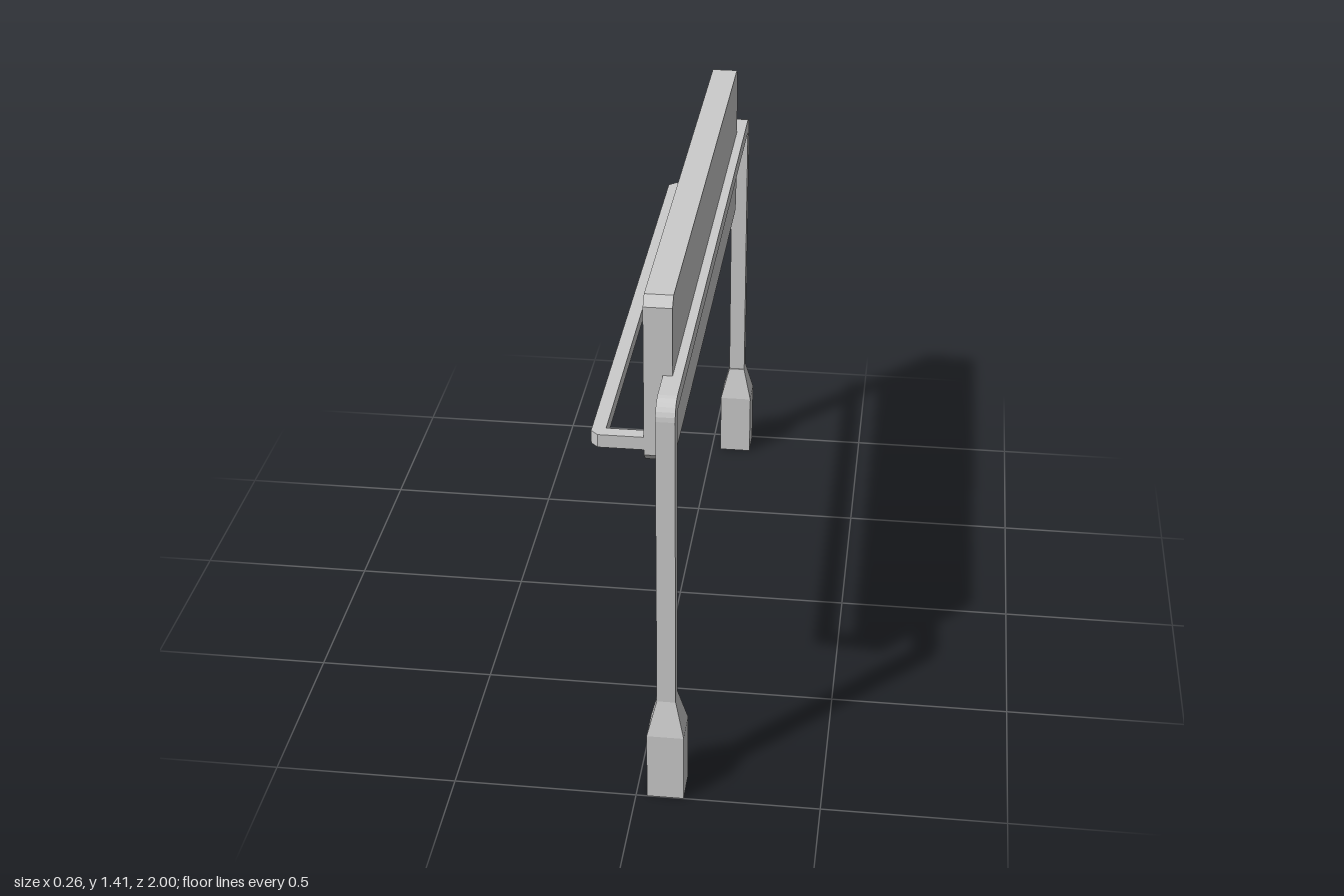
import * as THREE from 'three';

const grey = new THREE.MeshStandardMaterial({ color: 0xcccccc, flatShading: true });
const red = new THREE.MeshStandardMaterial({ color: 0xdd1515, flatShading: true });

function addMesh(parent, name, geometry, material = grey) {
  const mesh = new THREE.Mesh(geometry, material);
  mesh.name = name;
  parent.add(mesh);
  return mesh;
}

function extrude(shape, depth) {
  return new THREE.ExtrudeGeometry(shape, { depth, bevelEnabled: false, curveSegments: 3 });
}

// Turns a shape drawn in (z, y) into a slab between two x values
function slabAcrossX(shape, xMin, xMax) {
  return extrude(shape, xMax - xMin).rotateY(-Math.PI / 2).translate(xMax, 0, 0);
}

function polygon(points) {
  return new THREE.Shape(points.map(([a, b]) => new THREE.Vector2(a, b)));
}

// Arch outline: two posts joined by a beam with rounded outer corners
function archShape() {
  const outer = 0.977, inner = 0.93, top = 1.2, under = 1.157, foot = 0.3, r = 0.05;
  const s = new THREE.Shape();
  s.moveTo(outer, foot);
  s.lineTo(outer, top - r);
  s.absarc(outer - r, top - r, r, 0, Math.PI / 2, false);
  s.lineTo(-outer + r, top);
  s.absarc(-outer + r, top - r, r, Math.PI / 2, Math.PI, false);
  s.lineTo(-outer, foot);
  s.lineTo(-inner, foot);
  s.lineTo(-inner, under);
  s.lineTo(inner, under);
  s.lineTo(inner, foot);
  s.closePath();
  return s;
}

// Square footing whose upper part narrows to the post
function footingGeometry() {
  const g = new THREE.BoxGeometry(0.1, 0.3, 0.1, 1, 3, 1).translate(0, 0.15, 0);
  const p = g.attributes.position;
  for (let i = 0; i < p.count; i++) {
    if (p.getY(i) > 0.29) p.setXYZ(i, p.getX(i) * 0.5, 0.3, p.getZ(i) * 0.48);
  }
  g.computeVertexNormals();
  return g;
}

export function createModel() {
  const model = new THREE.Group();
  model.name = 'signGantry';

  // Supporting arch and its footings
  addMesh(model, 'arch', slabAcrossX(archShape(), 0.055, 0.105));
  for (const side of [1, -1]) {
    const footing = addMesh(model, side > 0 ? 'frontFooting' : 'backFooting', footingGeometry());
    footing.position.set(0.08, 0, side * 0.95);
  }

  // Sign board with clipped corners
  const w = 0.825, lo = 0.94, hi = 1.415, c = 0.025;
  const board = polygon([
    [w, lo + c], [w, hi - c], [w - c, hi], [-w + c, hi],
    [-w, hi - c], [-w, lo + c], [-w + c, lo], [w - c, lo],
  ]);
  addMesh(model, 'signBoard', slabAcrossX(board, 0.005, 0.08));

  // Coloured sign face
  const face = addMesh(model, 'signFace', new THREE.BoxGeometry(0.004, 0.427, 1.59), red);
  face.position.set(0.005, 1.177, 0);

  // U-shaped rail in front of the sign face, drawn in (x, z)
  const xo = -0.135, xi = -0.098, xe = 0.01, zi = 0.788, k = 0.02;
  const rail = polygon([
    [xe, w], [xo + k, w], [xo, w - k], [xo, -w + k], [xo + k, -w], [xe, -w],
    [xe, -zi], [xi, -zi], [xi, zi], [xe, zi],
  ]);
  addMesh(model, 'lightRail', extrude(rail, 0.037).rotateX(Math.PI / 2).translate(0, 1.017, 0));

  return model;
}
